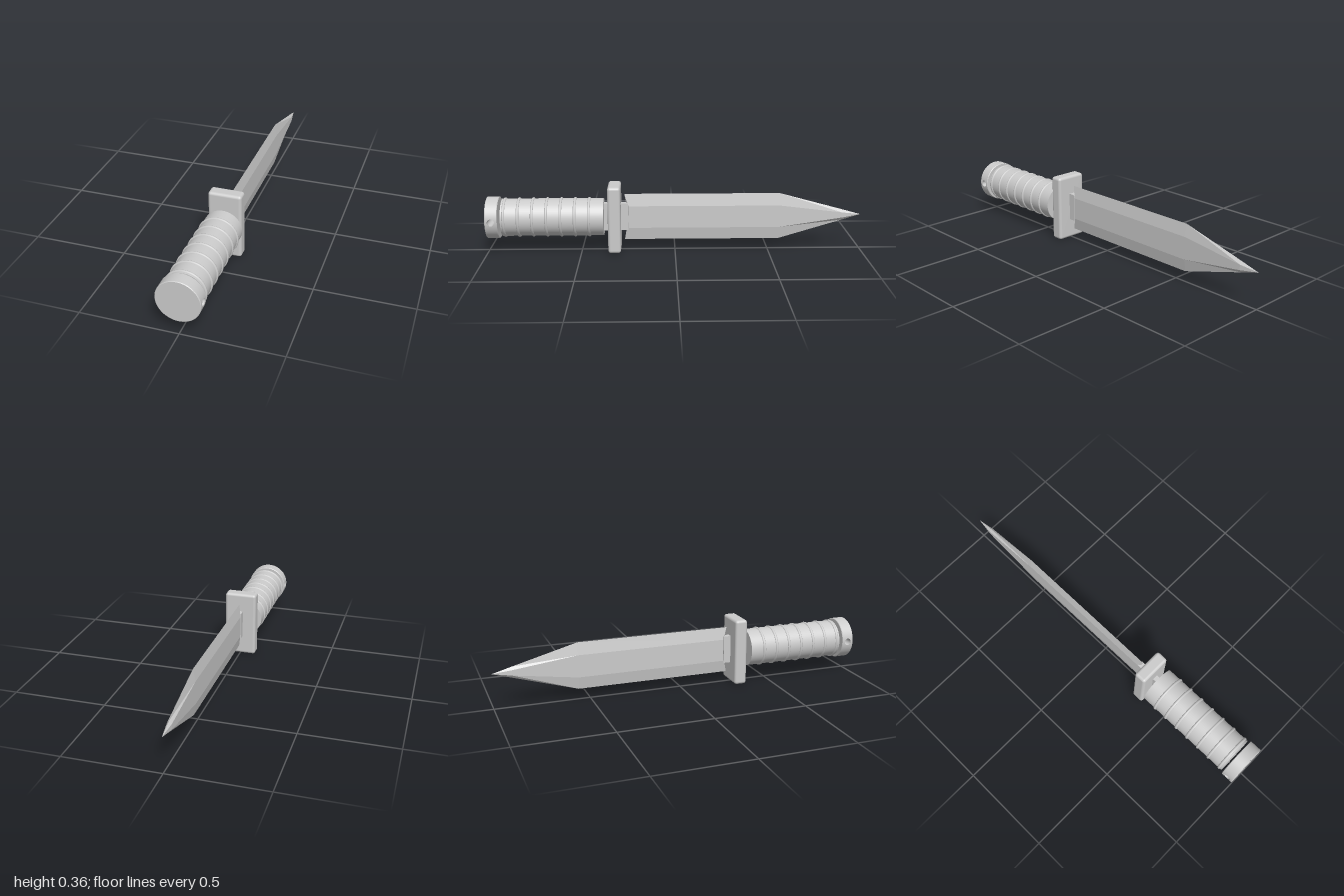
import * as THREE from 'three';
import { RoundedBoxGeometry } from 'three/addons/geometries/RoundedBoxGeometry.js';
import { ParametricGeometry } from 'three/addons/geometries/ParametricGeometry.js';

const AXIS_Y = 0.182; // height of the handle axis
const grey = new THREE.MeshStandardMaterial({ color: 0xcccccc });
const greyDouble = new THREE.MeshStandardMaterial({ color: 0xcccccc, side: THREE.DoubleSide });

function add(parent, name, geometry, x, y, z, material = grey) {
  const mesh = new THREE.Mesh(geometry, material);
  mesh.name = name;
  mesh.position.set(x, y, z);
  parent.add(mesh);
  return mesh;
}

// Cylinder lying along z
const zCylinder = (...args) => new THREE.CylinderGeometry(...args).rotateX(Math.PI / 2);

// Double-edged blade: six-sided sections from the base to the point
function bladeGeometry() {
  // z, centre y, half height at the edges, half height of the flat, half thickness
  const sections = [
    [0.27, 0.181, 0.126, 0.06, 0.012],
    [-0.56, 0.181, 0.126, 0.06, 0.012],
    [-0.9, 0.186, 0.029, 0.014, 0.012],
    [-1, 0.187, 0, 0, 0],
  ];
  const positions = [];
  const indices = [];
  sections.forEach(([z, y, e, f, t], i) => {
    const inner = i === 0 ? z - 0.022 : z; // undercut shoulders at the base
    positions.push(
      0, y + e, z, t, y + f, inner, t, y - f, inner,
      0, y - e, z, -t, y - f, inner, -t, y + f, inner,
    );
  });
  const centre = positions.length / 3;
  positions.push(0, 0.181, 0.248);
  for (let j = 0; j < 6; j++) {
    const k = (j + 1) % 6;
    indices.push(centre, k, j);
    for (let i = 0; i < sections.length - 1; i++) {
      const a = i * 6 + j, b = i * 6 + k, c = b + 6, d = a + 6;
      indices.push(a, b, c);
      if (i < sections.length - 2) indices.push(a, c, d);
    }
  }
  const indexed = new THREE.BufferGeometry();
  indexed.setAttribute('position', new THREE.Float32BufferAttribute(positions, 3));
  indexed.setIndex(indices);
  const geometry = indexed.toNonIndexed();
  geometry.computeVertexNormals();
  return geometry;
}

// Round end cap with a lanyard hole drilled through it along x
function buildPommel() {
  const pommel = new THREE.Group();
  pommel.name = 'pommel';
  const R = 0.111, half = 0.03, bevel = 0.003, hole = 0.019;
  const gap = Math.asin(half / R);

  // Bevelled end faces
  add(pommel, 'pommelFrontFace', zCylinder(R - bevel, R, bevel, 64), 0, 0, half + bevel / 2);
  add(pommel, 'pommelBackFace', zCylinder(R, R - bevel, bevel, 64), 0, 0, -half - bevel / 2);

  // Curved wall patch running from the round hole out to a square border
  const patch = (u, v, target) => {
    const angle = u * Math.PI * 2;
    const c = Math.cos(angle), s = Math.sin(angle);
    const radius = THREE.MathUtils.lerp(hole, half / Math.max(Math.abs(c), Math.abs(s)), v);
    const y = c * radius;
    target.set(Math.sqrt(R * R - y * y), y, s * radius);
  };
  for (const side of [0, 1]) {
    const start = (side ? -1 : 1) * Math.PI / 2 + gap;
    add(pommel, 'pommelWall',
      zCylinder(R, R, half * 2, 32, 1, true, start, Math.PI - 2 * gap), 0, 0, 0);
    add(pommel, 'pommelHoleSurround', new ParametricGeometry(patch, 32, 4), 0, 0, 0, greyDouble)
      .rotation.z = side * Math.PI;
  }
  const bore = new THREE.CylinderGeometry(hole, hole, 0.219, 32, 1, true).rotateZ(Math.PI / 2);
  add(pommel, 'lanyardHole', bore, 0, 0, 0, greyDouble);

  pommel.position.set(0, AXIS_Y, 0.967);
  return pommel;
}

// Round grip with evenly spaced raised rings
function buildGrip() {
  const grip = new THREE.Group();
  grip.name = 'grip';
  add(grip, 'gripCore', zCylinder(0.1, 0.1, 0.54, 64), 0, 0, 0.65);
  for (let i = 0; i < 7; i++) {
    add(grip, 'gripRing', new THREE.TorusGeometry(0.098, 0.008, 12, 64), 0, 0, 0.457 + i * 0.0745);
  }
  grip.position.y = AXIS_Y;
  return grip;
}

export function createModel() {
  const model = new THREE.Group();
  model.name = 'knife';
  add(model, 'blade', bladeGeometry(), 0, 0, 0);
  add(model, 'tang', new THREE.BoxGeometry(0.03, 0.15, 0.15), 0, 0.184, 0.325);
  add(model, 'guard', new RoundedBoxGeometry(0.174, 0.36, 0.068, 5, 0.015), 0, 0.18, 0.323);
  model.add(buildGrip(), buildPommel());
  return model;
}
